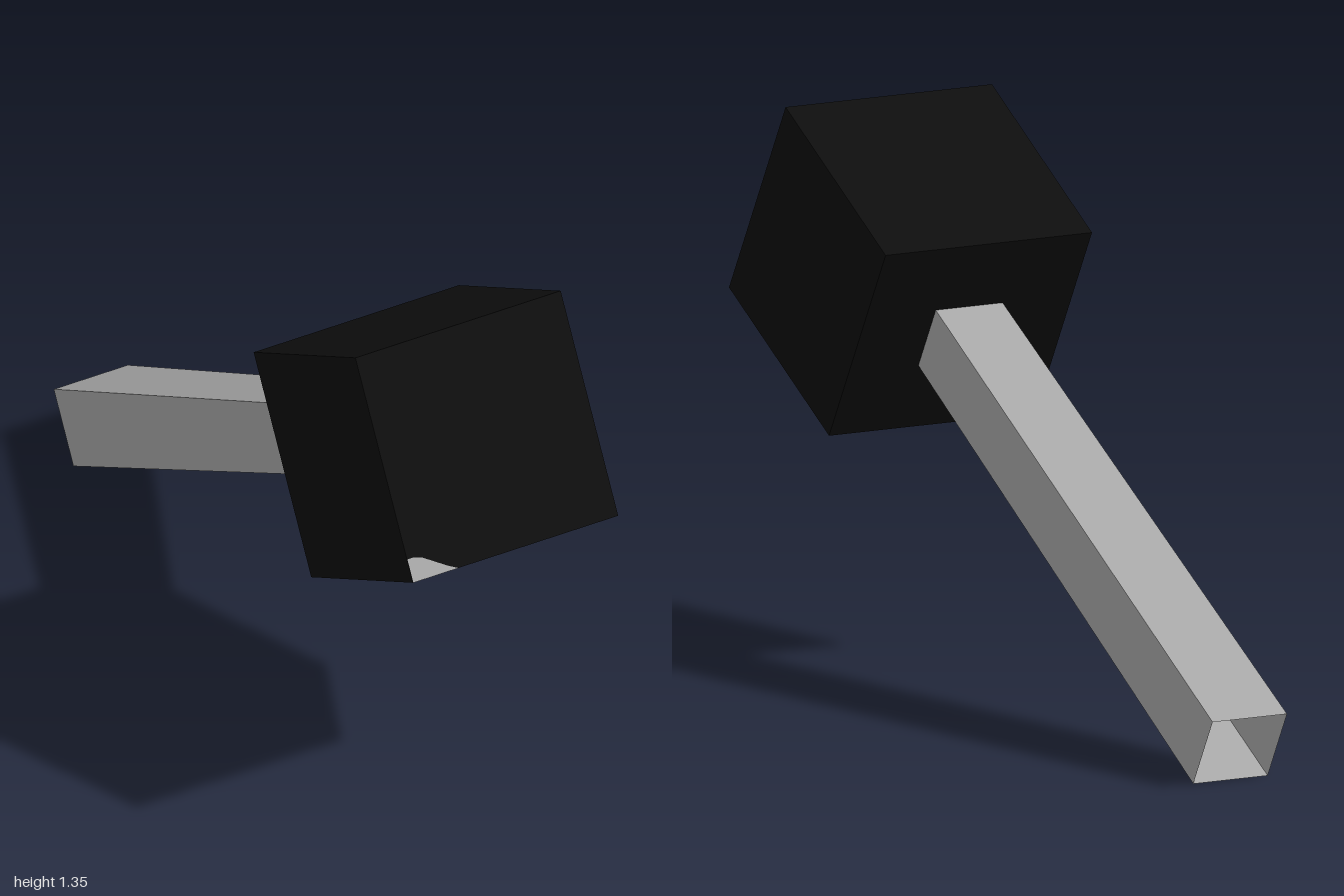
import * as THREE from 'three';

export function createModel() {
  const black = new THREE.MeshStandardMaterial({ color: 0x0e0e0e });
  black.name = 'black head';
  const grey = new THREE.MeshStandardMaterial({ color: 0xa8a8a8, side: THREE.DoubleSide });
  grey.name = 'grey handle';

  const group = new THREE.Group();
  group.name = 'mallet';
  const add = (name, geometry, material, z) => {
    const mesh = new THREE.Mesh(geometry, material);
    mesh.name = name;
    mesh.position.z = z;
    group.add(mesh);
  };

  const headZ = 1.8125, headW = 0.555, headH = 0.55;
  const length = headZ - headH / 2;

  // Hollow square handle, slightly narrower towards the head, open at its end
  const handle = new THREE.CylinderGeometry(0.09 * Math.SQRT2, 0.1 * Math.SQRT2, length, 4, 1, true)
    .rotateY(Math.PI / 4)
    .rotateX(Math.PI / 2)
    .scale(1, 0.94, 1)
    .toNonIndexed();
  handle.computeVertexNormals();
  add('handle', handle, grey, length / 2);

  // Cube head
  add('head', new THREE.BoxGeometry(headW, headH, headH), black, headZ);

  // Worn grey patch on the lower corner of the striking face
  const patch = new THREE.Shape([
    [-0.2775, -0.275], [-0.155, -0.275], [-0.18, -0.262],
    [-0.24, -0.224], [-0.26, -0.218], [-0.2775, -0.218],
  ].map(([x, y]) => new THREE.Vector2(x, y)));
  add('cornerPatch', new THREE.ShapeGeometry(patch), grey, headZ + headH / 2 + 0.002);

  // Tilt so the handle end rests on the ground and the head is raised in front
  group.rotation.x = -THREE.MathUtils.degToRad(29.5);
  group.position.set(0, 0.0825, -0.9525);

  const model = new THREE.Group();
  model.name = 'tiltedMallet';
  model.add(group);
  return model;
}
